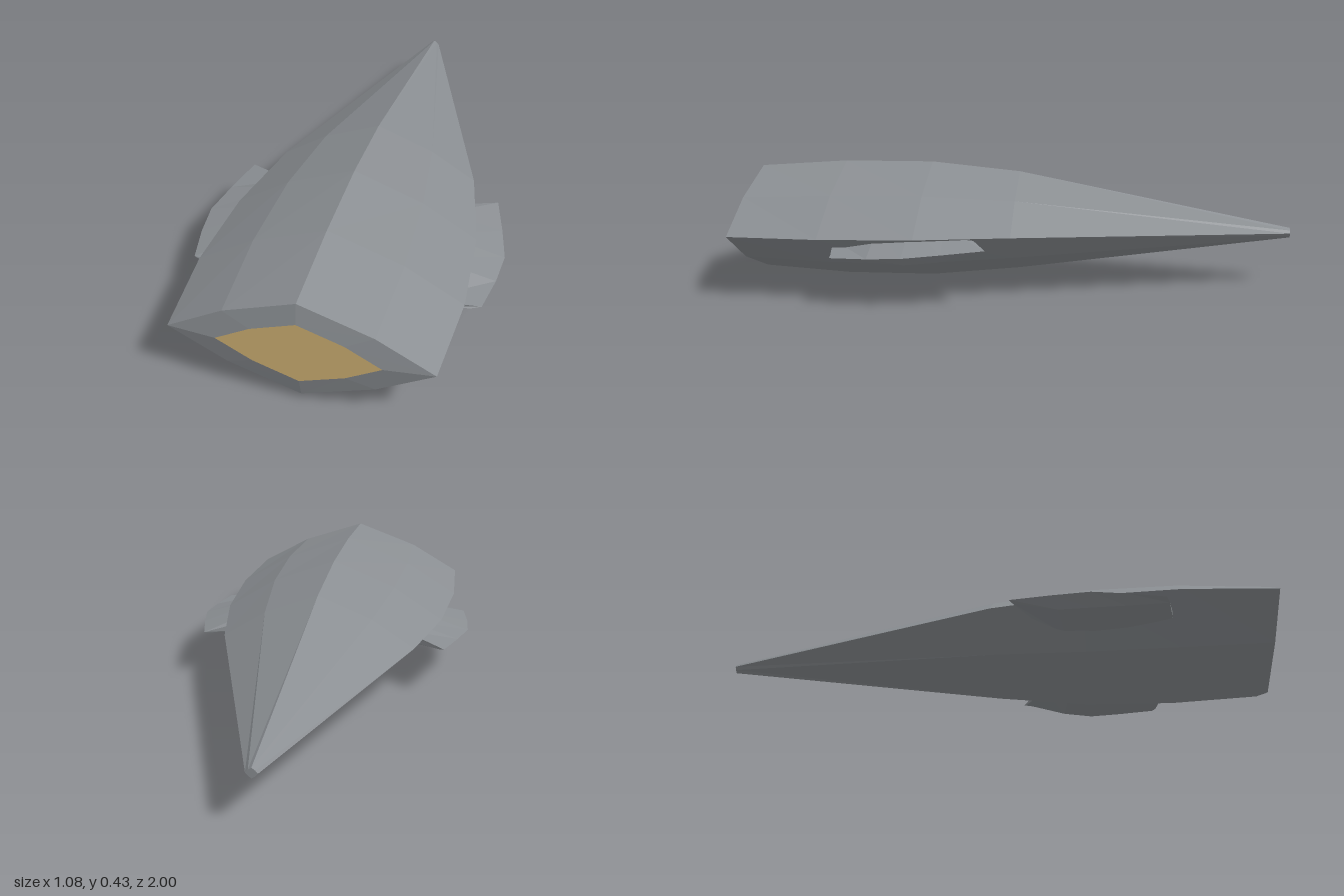
import * as THREE from 'three';

const hullGrey = new THREE.MeshStandardMaterial({ color: 0x8a8e92, flatShading: true });
hullGrey.name = 'hullGrey';
const engineGold = new THREE.MeshStandardMaterial({ color: 0xd0b274, flatShading: true });
engineGold.name = 'engineGold';

// Skins rings of [x, y, z] points (counter-clockwise seen from +z, ordered by rising z).
function loft(rings, capBack = true, capFront = true) {
  const n = rings[0].length;
  const index = [];
  for (let i = 0; i < rings.length - 1; i++) {
    for (let j = 0; j < n; j++) {
      const k = (j + 1) % n;
      const a = i * n + j, b = i * n + k, c = b + n, d = a + n;
      index.push(a, b, c, a, c, d);
    }
  }
  const last = (rings.length - 1) * n;
  for (let j = 1; j < n - 1; j++) {
    if (capBack) index.push(0, j + 1, j);
    if (capFront) index.push(last, last + j, last + j + 1);
  }
  const geometry = new THREE.BufferGeometry();
  geometry.setAttribute('position', new THREE.Float32BufferAttribute(rings.flat(2), 3));
  geometry.setIndex(index);
  const flat = geometry.toNonIndexed();
  flat.computeVertexNormals();
  return flat;
}

// Eight-sided lens section: half width w, half height h, centre height y.
function lens(z, w, h, y) {
  const unit = [[1, 0], [0.56, 0.56], [0, 1], [-0.56, 0.56], [-1, 0], [-0.56, -0.56], [0, -1], [0.56, -0.56]];
  return unit.map(([u, v]) => [u * w, y + v * h, z]);
}

function addMesh(group, name, geometry, material) {
  const mesh = new THREE.Mesh(geometry, material);
  mesh.name = name;
  group.add(mesh);
}

// Short side fin; each station gives the outer edge, inner top, inner bottom and lower outer corner.
function fin(side) {
  const stations = [
    [[0.47, 0.195, 0.075], [0.3, 0.225, 0.17], [0.3, 0.185, 0.17], [0.455, 0.19, 0.085]],
    [[0.51, 0.186, 0.22], [0.3, 0.242, 0.24], [0.28, 0.15, 0.26], [0.47, 0.152, 0.24]],
    [[0.54, 0.178, 0.35], [0.3, 0.247, 0.36], [0.28, 0.143, 0.36], [0.49, 0.145, 0.35]],
    [[0.53, 0.172, 0.47], [0.3, 0.235, 0.48], [0.28, 0.147, 0.48], [0.485, 0.15, 0.47]],
    [[0.505, 0.168, 0.6], [0.3, 0.19, 0.64], [0.28, 0.16, 0.64], [0.47, 0.163, 0.612]],
  ];
  return loft(stations.map((ring) => {
    const points = ring.map(([x, y, z]) => [side * x, y, z]);
    return side < 0 ? points.reverse() : points;
  }));
}

export function createModel() {
  const model = new THREE.Group();
  model.name = 'ship';

  // Hull tapering to a blunt point, open where the engine panel sits
  const panel = lens(1, 0.27, 0.122, 0.22);
  addMesh(model, 'hull', loft([
    lens(-1, 0.02, 0.018, 0.188),
    lens(0, 0.365, 0.184, 0.22),
    lens(0.33, 0.435, 0.217, 0.22),
    lens(0.66, 0.457, 0.217, 0.22),
    lens(0.985, 0.435, 0.195, 0.22),
    panel,
  ], true, false), hullGrey);

  // Glowing engine face
  addMesh(model, 'enginePanel', loft([panel], false, true), engineGold);

  addMesh(model, 'leftFin', fin(1), hullGrey);
  addMesh(model, 'rightFin', fin(-1), hullGrey);
  return model;
}
